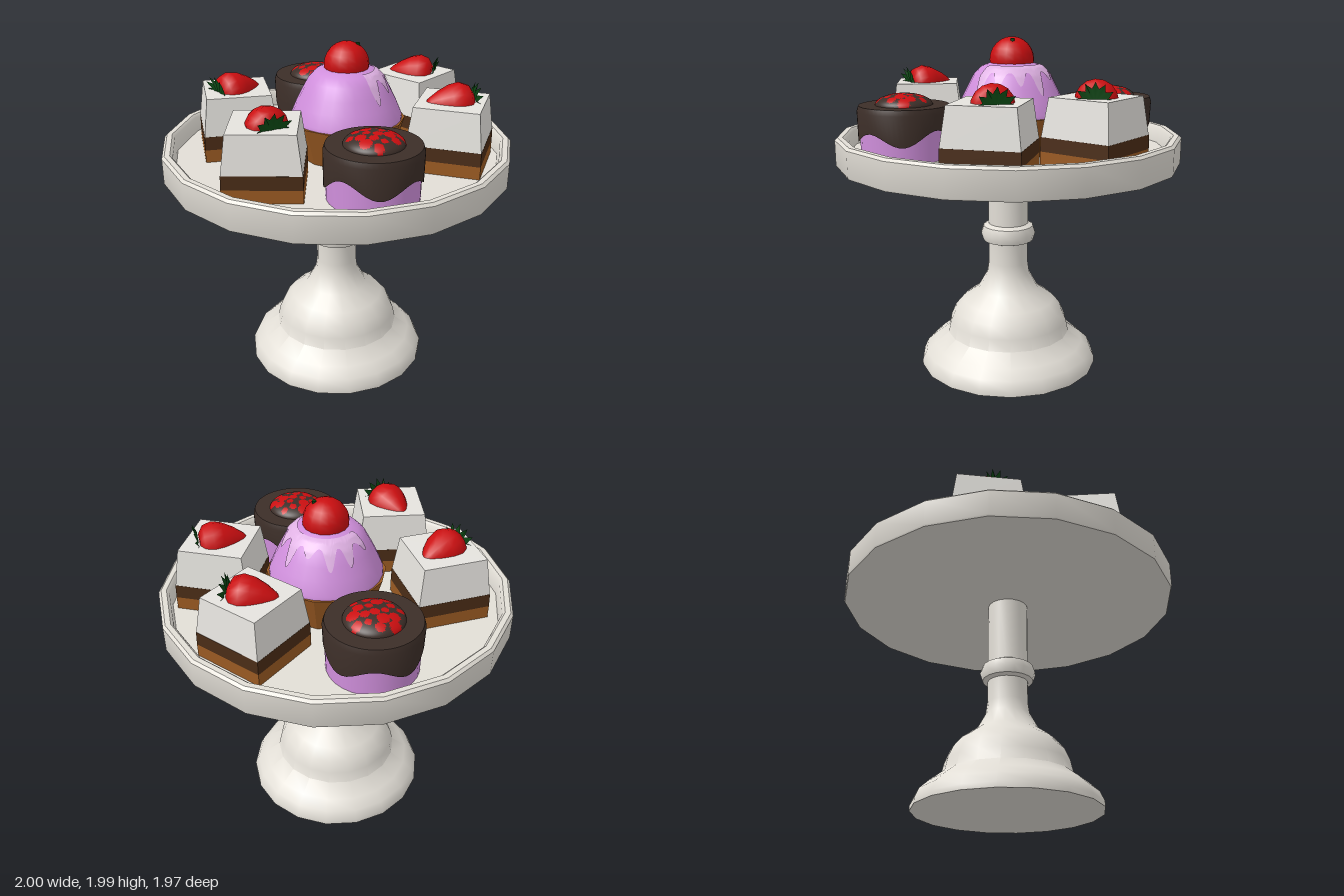
import * as THREE from 'three';
import { toCreasedNormals } from 'three/addons/utils/BufferGeometryUtils.js';

const mat = (name, color, side = THREE.FrontSide) => {
  const m = new THREE.MeshStandardMaterial({ color, side });
  m.name = name;
  return m;
};

const vecs = (pts) => pts.map(([x, y]) => new THREE.Vector2(x, y));
const lathe = (pts, n, start = 0) => new THREE.LatheGeometry(vecs(pts), n, start);

function add(parent, name, geometry, material) {
  const mesh = new THREE.Mesh(geometry, material);
  mesh.name = name;
  parent.add(mesh);
  return mesh;
}

// Moves every vertex of a geometry by a rule
function reshape(geo, rule) {
  const p = geo.attributes.position, v = new THREE.Vector3();
  for (let i = 0; i < p.count; i++) {
    v.fromBufferAttribute(p, i);
    rule(v, i);
    p.setXYZ(i, v.x, v.y, v.z);
  }
  geo.computeVertexNormals();
  return geo;
}

const FLOOR = 1.34;

export function createModel() {
  const M = {
    china: mat('china', 0xe2ded6),
    cream: mat('cream', 0xe5e3de),
    filling: mat('brown filling', 0x4a2c16),
    sponge: mat('sponge', 0x9a5a22),
    chocolate: mat('chocolate', 0x3c2e28, THREE.DoubleSide),
    lilac: mat('lilac icing', 0xd08fdc),
    pale: mat('pale icing', 0xe0b2e4, THREE.DoubleSide),
    red: mat('red fruit', 0xcb0e10),
    leaf: mat('leaf green', 0x0b4512, THREE.DoubleSide),
  };
  const model = new THREE.Group();
  model.name = 'cakeStand';

  // Pedestal and rimmed plate, turned in one piece
  const stand = lathe([
    [0, 0], [0.54, 0], [0.54, 0.03], [0.515, 0.085], [0.46, 0.135], [0.375, 0.2],
    [0.36, 0.27], [0.33, 0.34], [0.28, 0.4], [0.185, 0.47], [0.13, 0.57], [0.12, 0.64],
    [0.12, 0.77], [0.15, 0.78], [0.165, 0.825], [0.15, 0.87], [0.12, 0.885], [0.12, 1.27],
    [0.995, 1.27], [1, 1.28], [1, 1.425], [0.985, 1.44], [0.955, 1.44], [0.94, 1.425],
    [0.93, FLOOR], [0, FLOOR],
  ], 18, Math.PI / 18);
  add(model, 'standAndPlate', toCreasedNormals(stand, 0.75), M.china);

  // Square layered cakes, each topped with a strawberry
  const squares = [[0.06, -0.635, 0], [0.56, -0.325, 24], [-0.49, 0.315, 234], [0.04, 0.6, -49]];
  for (const [x, z, deg] of squares) {
    const cake = squareCake(M);
    cake.position.set(x, 0, z);
    cake.rotation.y = THREE.MathUtils.degToRad(deg);
    model.add(cake);
  }

  // Round glazed cakes
  for (const [x, z, turn] of [[0.535, 0.315, 0], [-0.505, -0.365, 2.2]]) {
    const cake = glazedCake(M);
    cake.position.set(x, 0, z);
    cake.rotation.y = turn;
    model.add(cake);
  }

  const cupcake = icedCupcake(M);
  cupcake.position.set(0.03, 0, -0.05);
  model.add(cupcake);
  return model;
}

function squareCake(M) {
  const g = new THREE.Group();
  g.name = 'squareCake';
  const layers = [
    ['spongeLayer', FLOOR, 1.413, 0.21, 0.21, M.sponge],
    ['fillingLayer', 1.413, 1.49, 0.21, 0.208, M.filling],
    ['creamLayer', 1.49, 1.7, 0.207, 0.18, M.cream],
  ];
  for (const [name, y0, y1, h0, h1, m] of layers) {
    const geo = new THREE.CylinderGeometry(h1 * Math.SQRT2, h0 * Math.SQRT2, y1 - y0, 4)
      .rotateY(Math.PI / 4).translate(0, (y0 + y1) / 2, 0);
    add(g, name, toCreasedNormals(geo, 0.5), m);
  }

  // Strawberry lying on its side, half sunk in the cream
  const berry = new THREE.Group();
  berry.name = 'strawberry';
  add(berry, 'berryFlesh', lathe([
    [0, 0], [0.06, 0], [0.1, 0.025], [0.117, 0.075], [0.105, 0.13],
    [0.075, 0.19], [0.04, 0.24], [0.018, 0.26], [0, 0.265],
  ], 16), M.red);
  const crown = reshape(new THREE.CircleGeometry(1, 26).rotateX(Math.PI / 2), (v, i) => {
    if (i === 0) return v.set(0, -0.006, 0);
    const r = i % 2 ? 0.112 : 0.075;
    v.set(v.x * r, i % 2 ? -0.03 : -0.008, v.z * r);
  });
  add(berry, 'berryLeaves', crown, M.leaf);
  berry.position.set(0.1, 1.68, -0.055);
  berry.quaternion.setFromUnitVectors(
    new THREE.Vector3(0, 1, 0), new THREE.Vector3(-0.89, 0, 0.45).normalize());
  g.add(berry);
  return g;
}

function glazedCake(M) {
  const g = new THREE.Group();
  g.name = 'glazedCake';
  add(g, 'cakeBody', new THREE.CylinderGeometry(0.25, 0.245, 0.27, 28)
    .translate(0, FLOOR + 0.135, 0), M.lilac);

  // Glaze with a wavy lower edge
  const glaze = reshape(lathe([[0.257, 1.4], [0.26, 1.6], [0.25, 1.63], [0, 1.63]], 56), (v) => {
    if (v.y > 1.45) return;
    const a = Math.atan2(v.x, v.z);
    v.y = 1.465 + 0.045 * Math.cos(4 * a) + 0.015 * Math.sin(3 * a);
  });
  add(g, 'chocolateGlaze', toCreasedNormals(glaze, 0.6), M.chocolate);

  // Low dome covered with overlapping jam spots
  const spots = [];
  for (let i = 0; i < 19; i++) {
    const a = i * 2.4, r = 0.145 * Math.sqrt((i + 0.4) / 19);
    spots.push([r * Math.cos(a), r * Math.sin(a), 0.026 + 0.007 * Math.sin(i * 5.3)]);
  }
  const dome = new THREE.SphereGeometry(1, 72, 24, 0, Math.PI * 2, 0, Math.PI / 2)
    .scale(0.16, 0.065, 0.16).translate(0, 1.627, 0);
  const p = dome.attributes.position, index = dome.index.array, faces = [[], []];
  for (let i = 0; i < index.length; i += 3) {
    const tri = [index[i], index[i + 1], index[i + 2]];
    const x = tri.reduce((s, k) => s + p.getX(k) / 3, 0);
    const z = tri.reduce((s, k) => s + p.getZ(k) / 3, 0);
    const isRed = spots.some(([sx, sz, r]) => Math.hypot(x - sx, z - sz) < r);
    faces[isRed ? 0 : 1].push(...tri);
  }
  dome.setIndex(faces.flat());
  dome.addGroup(0, faces[0].length, 0);
  dome.addGroup(faces[0].length, faces[1].length, 1);
  add(g, 'jamTopping', dome, [M.red, M.chocolate]);
  return g;
}

function icedCupcake(M) {
  const g = new THREE.Group();
  g.name = 'cupcake';
  const cup = new THREE.CylinderGeometry(0.333, 0.27, 0.22, 14).translate(0, FLOOR + 0.11, 0);
  add(g, 'cupcakeBase', toCreasedNormals(cup, 0.3), M.sponge);

  const profile = [[0.318, 1.55], [0.315, 1.58], [0.285, 1.65], [0.25, 1.72],
    [0.215, 1.785], [0.175, 1.825], [0.11, 1.85], [0, 1.85]];
  add(g, 'icing', lathe(profile, 28), M.lilac);

  // Pale drips hugging the back and sides of the icing
  const radiusAt = (y) => {
    const i = Math.max(1, profile.findIndex((q) => q[1] >= y));
    const [r0, y0] = profile[i - 1], [r1, y1] = profile[i];
    return r0 + (r1 - r0) * (y - y0) / (y1 - y0);
  };
  const drips = reshape(new THREE.PlaneGeometry(1, 1, 140, 10), (v) => {
    const a = THREE.MathUtils.degToRad(178 + 205 * v.x);
    const finger = (0.5 + 0.5 * Math.cos(13 * a)) ** 1.5;
    const low = 1.8 - finger * (0.085 + 0.04 * Math.sin(5 * a));
    const y = low + (1.835 - low) * (v.y + 0.5), r = radiusAt(y) + 0.004;
    v.set(r * Math.sin(a), y + 0.003, r * Math.cos(a));
  });
  add(g, 'icingDrips', drips, M.pale);

  // Cherry with a tiny stalk scar
  add(g, 'cherry', new THREE.SphereGeometry(0.127, 16, 12).translate(0, 1.863, 0), M.red);
  add(g, 'cherryStalk', new THREE.CylinderGeometry(0.012, 0.012, 0.02, 6)
    .translate(0.045, 1.972, -0.04), M.leaf);
  return g;
}
